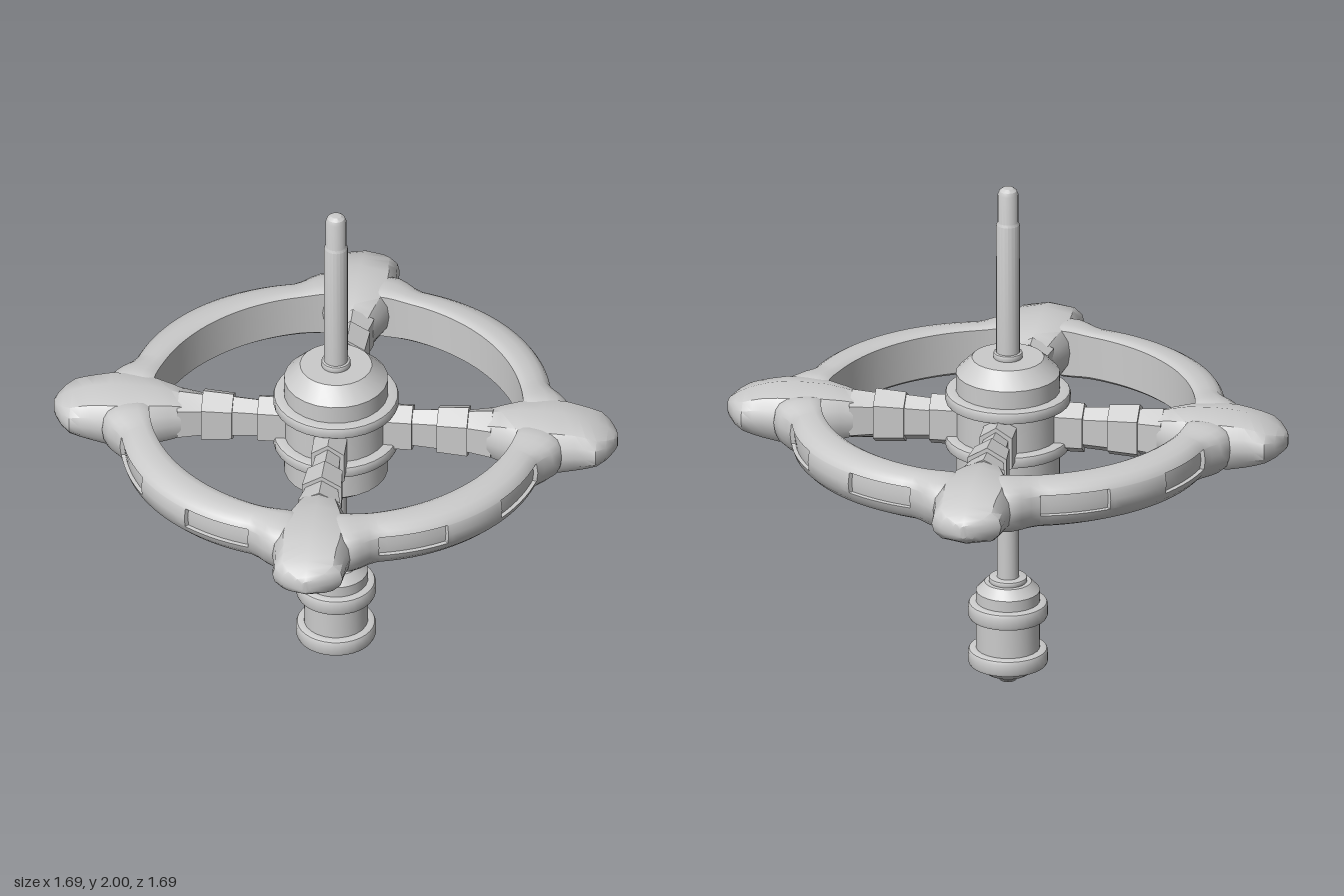
import * as THREE from 'three';
import { toCreasedNormals } from 'three/addons/utils/BufferGeometryUtils.js';

const MID = 1.042; // height of the wheel's middle plane
const material = new THREE.MeshStandardMaterial({ color: 0xcccccc });

function addMesh(parent, name, geometry, crease = 0.5) {
  const mesh = new THREE.Mesh(toCreasedNormals(geometry, crease), material);
  mesh.name = name;
  parent.add(mesh);
  return mesh;
}

// Joins equal-length closed cross-sections; either wraps round or gets end caps.
function loft(sections, wrap) {
  const n = sections[0].length, count = sections.length;
  const index = [];
  for (let i = 0; i < (wrap ? count : count - 1); i++) {
    const p = i * n, q = ((i + 1) % count) * n;
    for (let j = 0; j < n; j++) {
      const k = (j + 1) % n;
      index.push(p + j, q + j, p + k, q + j, q + k, p + k);
    }
  }
  if (!wrap) {
    const e = (count - 1) * n;
    for (let j = 1; j < n - 1; j++) index.push(0, j, j + 1, e, e + j + 1, e + j);
  }
  const geometry = new THREE.BufferGeometry();
  geometry.setAttribute('position', new THREE.Float32BufferAttribute(sections.flat(2), 3));
  geometry.setIndex(index);
  return geometry;
}

function lathe(parent, name, profile, sides = 24) {
  const points = profile.map(([r, y]) => new THREE.Vector2(r, y));
  return addMesh(parent, name, new THREE.LatheGeometry(points, sides));
}

// Rounded band around the axis
function band(parent, name, y, inner, outer, half) {
  const c = Math.min(half, outer - inner) * 0.45;
  lathe(parent, name, [
    [inner, y - half], [outer - c, y - half], [outer - c * 0.3, y - half + c * 0.3], [outer, y - half + c],
    [outer, y + half - c], [outer - c * 0.3, y + half - c * 0.3], [outer - c, y + half], [inner, y + half],
  ], 32);
}

// Wheel rim: flat inner wall, rounded outside, eight recessed panels
function rimGeometry() {
  // radius, height from the middle, 1 where a panel may be recessed
  const section = [
    [0.70, -0.085, 0], [0.715, -0.097, 0], [0.74, -0.102, 0], [0.775, -0.097, 0], [0.805, -0.083, 0],
    [0.828, -0.06, 0], [0.838, -0.034, 0], [0.839, -0.032, 1], [0.844, 0.005, 1], [0.838, 0.046, 1],
    [0.837, 0.048, 0], [0.825, 0.066, 0], [0.802, 0.08, 0], [0.77, 0.088, 0], [0.735, 0.09, 0],
    [0.715, 0.088, 0], [0.70, 0.08, 0],
  ];
  const steps = [8.8, 9, 27.3, 27.5, -8.8, -9, -27.3, -27.5];
  for (let t = -45; t < 45; t += 2.5) if (!steps.some((s) => Math.abs(s - t) < 0.3)) steps.push(t);
  steps.sort((a, b) => a - b);
  const sections = [];
  for (let quarter = 0; quarter < 4; quarter++) {
    for (const t of steps) {
      const away = Math.abs(t), angle = THREE.MathUtils.degToRad(t + quarter * 90);
      const recessed = away > 8.9 && away < 27.4;
      const swell = THREE.MathUtils.smoothstep(away, 27.5, 36);
      const sink = THREE.MathUtils.smoothstep(away, 38, 43);
      const spread = -0.02 * Math.min(1, away / 27) ** 2 + 0.055 * swell;
      sections.push(section.map(([r0, h, panel]) => {
        const r = r0 + spread * (r0 - 0.70) / 0.145 - (panel && recessed ? 0.016 : 0);
        return [r * Math.sin(angle), MID + h * (1 + 0.08 * swell - 0.3 * sink), r * Math.cos(angle)];
      }));
    }
  }
  return loft(sections, true);
}

// Ridged pod at the end of a spoke, lofted outward along z
function podGeometry() {
  // distance from axis, half width, half height
  const stations = [
    [0.575, 0.08, 0.088], [0.62, 0.098, 0.1], [0.685, 0.124, 0.112], [0.78, 0.148, 0.115],
    [0.855, 0.148, 0.112], [0.91, 0.138, 0.102], [0.95, 0.135, 0.09], [0.99, 0.132, 0.074],
    [1.025, 0.095, 0.056], [1.05, 0.045, 0.038], [1.06, 0.015, 0.025],
  ];
  const right = [[0.72, 0.78], [0.94, 0.42], [1, 0], [0.94, -0.42], [0.72, -0.78]];
  const outline = [[0, 1], ...right, [0, -1], ...right.map(([x, y]) => [-x, y]).reverse()];
  return loft(stations.map(([z, w, h]) => outline.map(([x, y]) => [x * w, MID + y * h, z])), false);
}

// Six-sided spoke piece with a roof-like top and bottom
function spokePiece(z0, z1, w0, w1, h0, h1) {
  const outline = [[0, 1], [1, 0.6], [1, -0.6], [0, -1], [-1, -0.6], [-1, 0.6]];
  const end = (z, w, h) => outline.map(([x, y]) => [x * w, MID + y * h, z]);
  return loft([end(z0, w0, h0), end(z1, w1, h1)], false);
}

export function createModel() {
  const model = new THREE.Group();
  model.name = 'spaceStation';

  addMesh(model, 'rim', rimGeometry(), 0.65);

  // Four diagonal arms
  for (let i = 0; i < 4; i++) {
    const arm = new THREE.Group();
    arm.name = 'arm';
    arm.rotation.y = Math.PI / 4 + i * Math.PI / 2;
    model.add(arm);
    addMesh(arm, 'pod', podGeometry(), 0.6);
    addMesh(arm, 'spokeRoot', spokePiece(0.15, 0.29, 0.062, 0.062, 0.1, 0.1), 0.2);
    addMesh(arm, 'spokeNeck', spokePiece(0.28, 0.39, 0.046, 0.052, 0.082, 0.09), 0.2);
    addMesh(arm, 'spokeSleeve', spokePiece(0.385, 0.5, 0.066, 0.074, 0.1, 0.108), 0.2);
    addMesh(arm, 'spokeTaper', spokePiece(0.495, 0.59, 0.06, 0.08, 0.09, 0.098), 0.2);
  }

  // Hub
  lathe(model, 'hub', [
    [0, 0.78], [0.125, 0.78], [0.195, 0.835], [0.195, 1.25], [0.135, 1.31], [0, 1.31],
  ]);
  band(model, 'upperHubCollar', 1.155, 0.19, 0.235, 0.024);
  band(model, 'lowerHubCollar', 0.975, 0.19, 0.235, 0.024);

  // Mast with a domed tip
  lathe(model, 'mast', [
    [0.045, 1.3], [0.044, 1.85], [0.039, 1.86], [0.039, 1.972], [0.033, 1.987], [0.02, 1.997], [0, 2],
  ], 20);
  band(model, 'mastCollar', 1.319, 0.03, 0.055, 0.014);

  // Lower shaft
  lathe(model, 'shaft', [[0.042, 0.4], [0.042, 0.79]], 20);
  band(model, 'upperShaftFlange', 0.767, 0.03, 0.07, 0.012);
  band(model, 'lowerShaftFlange', 0.409, 0.03, 0.072, 0.011);

  // Lower module
  lathe(model, 'lowerModule', [
    [0, 0.005], [0.035, 0.005], [0.045, 0.015], [0.045, 0.032], [0.08, 0.032], [0.12, 0.06],
    [0.12, 0.365], [0.088, 0.4], [0, 0.4],
  ]);
  lathe(model, 'bottomCap', [[0, 0], [0.03, 0], [0.04, 0.01], [0.04, 0.03]], 20);
  for (const y of [0.1, 0.288]) band(model, 'moduleBand', y, 0.115, 0.15, 0.034);

  return model;
}
